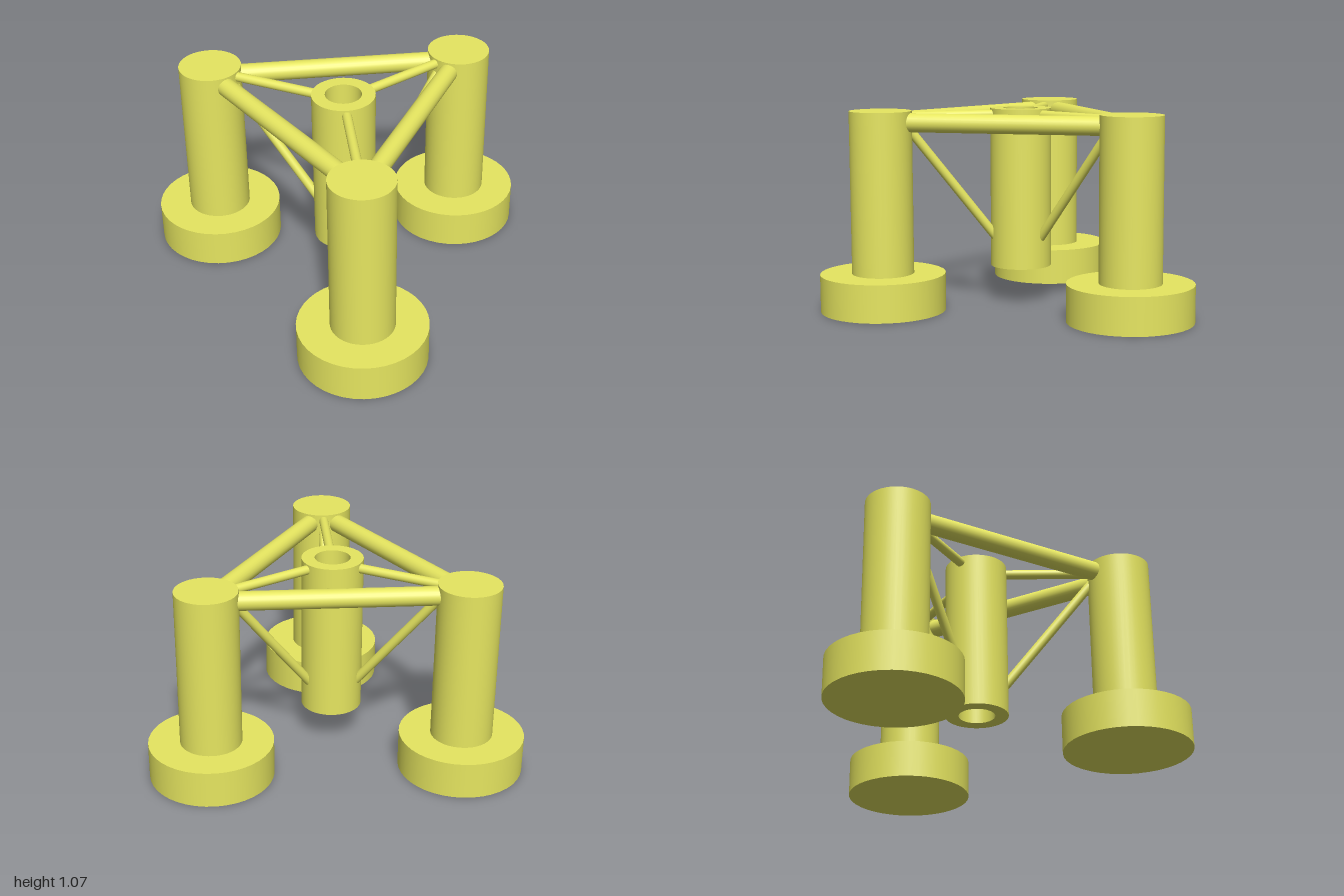
import * as THREE from 'three';

const material = new THREE.MeshStandardMaterial({ color: 0xe6e660 });
const SIDE = 4 / 3;                 // spacing between the legs
const REACH = SIDE / Math.sqrt(3);  // leg distance from the hub
const HUB_Z = REACH / 4;
const TOP = 1.065;
const R = 0.165;

function add(group, name, geometry) {
  const mesh = new THREE.Mesh(geometry, material);
  mesh.name = name;
  group.add(mesh);
  return mesh;
}

// Upright cylinder between two heights
function upright(group, name, radius, y0, y1, x, z) {
  const mesh = add(group, name, new THREE.CylinderGeometry(radius, radius, y1 - y0, 40));
  mesh.position.set(x, (y0 + y1) / 2, z);
}

// Round bar between two points
function bar(group, name, a, b, radius) {
  const dir = b.clone().sub(a);
  const mesh = add(group, name, new THREE.CylinderGeometry(radius, radius, dir.length(), 24));
  mesh.position.copy(a).add(b).multiplyScalar(0.5);
  mesh.quaternion.setFromUnitVectors(new THREE.Vector3(0, 1, 0), dir.normalize());
}

export function createModel() {
  const model = new THREE.Group();
  model.name = 'tripodFloatingPlatform';

  // Central hollow hub: closed rectangular section, corners doubled for crisp edges
  const section = [[0.095, 0.2], [R, 0.2], [R, 0.2], [R, TOP], [R, TOP],
    [0.095, TOP], [0.095, TOP], [0.095, 0.2]].map(([x, y]) => new THREE.Vector2(x, y));
  add(model, 'hub', new THREE.LatheGeometry(section, 40)).position.z = HUB_Z;

  // Point at a distance from the hub along one of the three arms
  const angles = [Math.PI, Math.PI / 3, -Math.PI / 3];
  const at = (angle, r, y) =>
    new THREE.Vector3(Math.sin(angle) * r, y, HUB_Z + Math.cos(angle) * r);

  angles.forEach((angle, i) => {
    const name = ['back', 'left', 'right'][i];
    const foot = at(angle, REACH, 0);

    // Leg column on its wide base
    upright(model, name + 'Base', 1 / 3, 0, 0.2, foot.x, foot.z);
    upright(model, name + 'Column', R, 0.2, TOP, foot.x, foot.z);

    // Thin level strut and diagonal brace to the hub
    bar(model, name + 'Strut', at(angle, 0.15, 1.032), at(angle, 0.62, 1.032), 0.025);
    bar(model, name + 'Brace', at(angle, 0.145, 0.365), at(angle, 0.63, 0.98), 0.025);

    // Thick beam to the next column, ends buried in the columns
    const a = at(angle, REACH, 1.005);
    const b = at(angles[(i + 1) % 3], REACH, 1.005);
    bar(model, name + 'Beam', a.clone().lerp(b, 0.08), b.clone().lerp(a, 0.08), 0.05);
  });
  return model;
}
